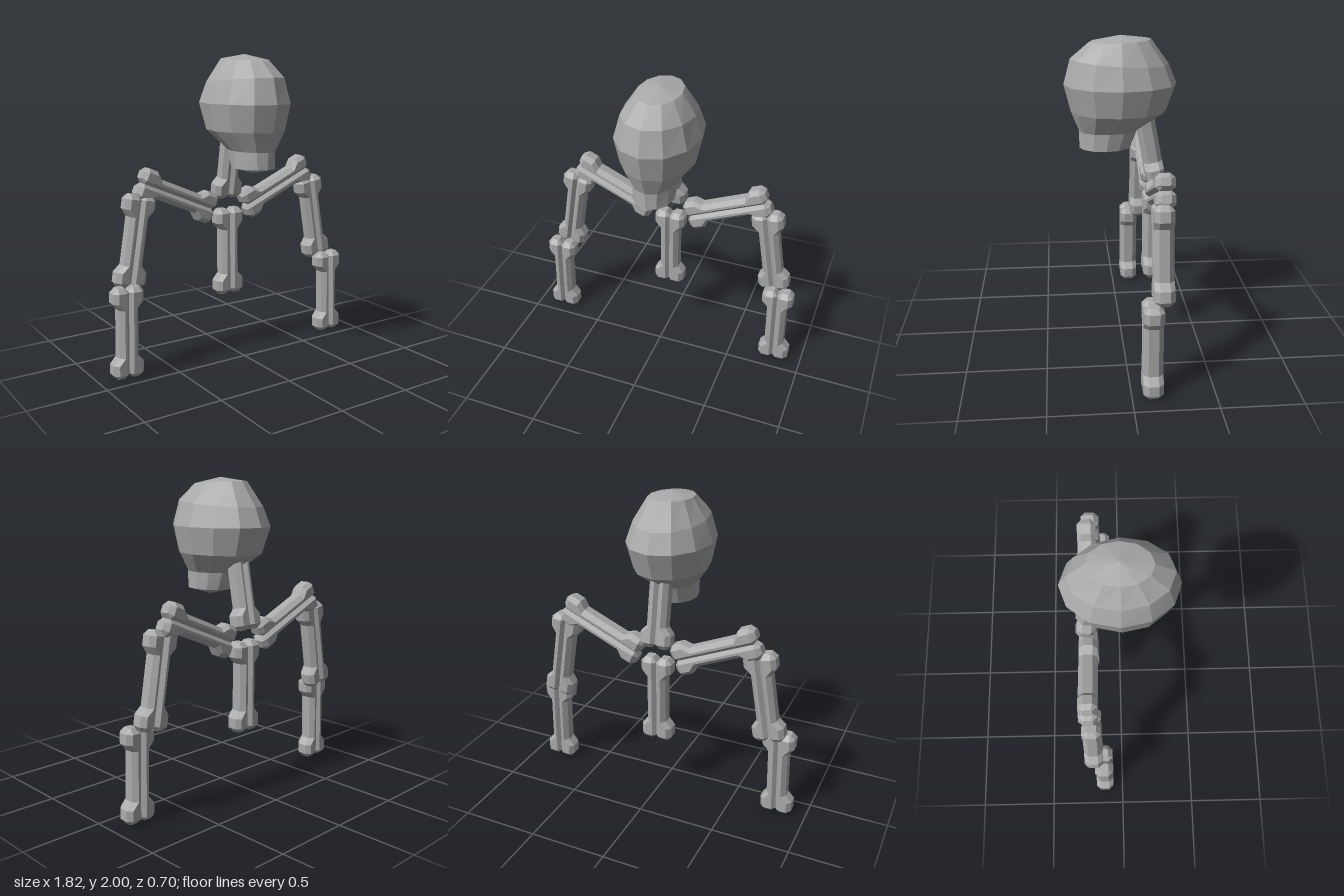
import * as THREE from 'three';

const boneGrey = new THREE.MeshStandardMaterial({ color: 0xaaaaaa });
boneGrey.name = 'boneGrey';

// Closed faceted skin over a stack of rings (bottom to top), capped by fans
function loft(rings, bottom, top) {
  const pos = [];
  const tri = (...pts) => pts.forEach((p) => pos.push(...p));
  const n = rings[0].length;
  for (let j = 0; j < n; j++) {
    const k = (j + 1) % n;
    for (let i = 0; i < rings.length - 1; i++) {
      const lo = rings[i], hi = rings[i + 1];
      tri(lo[j], lo[k], hi[k]);
      tri(lo[j], hi[k], hi[j]);
    }
    const last = rings[rings.length - 1];
    tri(bottom, rings[0][k], rings[0][j]);
    tri(top, last[j], last[k]);
  }
  const geo = new THREE.BufferGeometry();
  geo.setAttribute('position', new THREE.Float32BufferAttribute(pos, 3));
  geo.computeVertexNormals();
  return geo;
}

// Half of a bone: a chamfered bar with a wider knob at each end
function halfBoneGeometry(half) {
  const section = (y, xo) => [
    [0, y, 0.035], [0.022, y, 0.06], [xo - 0.027, y, 0.06], [xo, y, 0.03],
    [xo, y, -0.03], [xo - 0.027, y, -0.06], [0.022, y, -0.06], [0, y, -0.035],
  ];
  const cap = (y) => [
    [0.025, y, 0.02], [0.03, y, 0.03], [0.07, y, 0.03], [0.076, y, 0.02],
    [0.076, y, -0.02], [0.07, y, -0.03], [0.03, y, -0.03], [0.025, y, -0.02],
  ];
  const a = half - 0.03, b = half - 0.095, c = half - 0.14;
  const rings = [
    cap(-half), section(-a, 0.103), section(-b, 0.103), section(-c, 0.064),
    section(c, 0.064), section(b, 0.103), section(a, 0.103), cap(half),
  ];
  return loft(rings, [0.05, -half, 0], [0.05, half, 0]);
}

const halfBone = halfBoneGeometry(0.294);

// A whole bone is two halves back to back
function makeBone(name, x, y, z, tiltZ = 0, tiltX = 0) {
  const bone = new THREE.Group();
  bone.name = name;
  for (const turn of [0, Math.PI]) {
    const mesh = new THREE.Mesh(halfBone, boneGrey);
    mesh.name = name + (turn ? 'RightHalf' : 'LeftHalf');
    mesh.rotation.y = turn;
    bone.add(mesh);
  }
  bone.position.set(x, y, z);
  bone.rotation.set(
    THREE.MathUtils.degToRad(tiltX), 0, THREE.MathUtils.degToRad(tiltZ));
  return bone;
}

// Skull: twelve-sided oval rings, narrowing to a jaw set toward the front
function makeSkull() {
  // [front y, back y, half width, front z, back z]
  const profile = [
    [1.297, 1.297, 0.13, 0.26, -0.065],
    [1.405, 1.41, 0.137, 0.26, -0.11],
    [1.53, 1.53, 0.232, 0.31, -0.29],
    [1.70, 1.70, 0.267, 0.352, -0.352],
    [1.86, 1.82, 0.222, 0.31, -0.302],
    [1.96, 1.975, 0.137, 0.19, -0.19],
  ];
  const rings = profile.map(([yf, yb, w, zf, zb]) =>
    Array.from({ length: 12 }, (_, i) => {
      const a = (i / 12) * Math.PI * 2;
      const t = (1 + Math.cos(a)) / 2;
      return [w * Math.sin(a), yb + (yf - yb) * t, zb + (zf - zb) * t];
    }));
  const skull = new THREE.Mesh(
    loft(rings, [0, 1.257, 0.095], [0, 2, 0]), boneGrey);
  skull.name = 'skull';
  return skull;
}

export function createModel() {
  const model = new THREE.Group();
  model.name = 'boneCreature';

  model.add(makeSkull());
  model.add(makeBone('neckBone', 0, 1.35, -0.178, 0, 10.5));
  model.add(makeBone('spineBone', 0, 0.694, -0.21));

  // Mirrored limbs, each of three bones
  for (const side of [1, -1]) {
    const limb = new THREE.Group();
    limb.name = side > 0 ? 'leftLimb' : 'rightLimb';
    limb.add(
      makeBone('upperBone', side * 0.39, 1.106, -0.207, side * -66.6),
      makeBone('middleBone', side * 0.706, 0.855, -0.19, side * 9.5),
      makeBone('lowerBone', side * 0.802, 0.298, -0.125, side * 1.2));
    model.add(limb);
  }
  return model;
}
